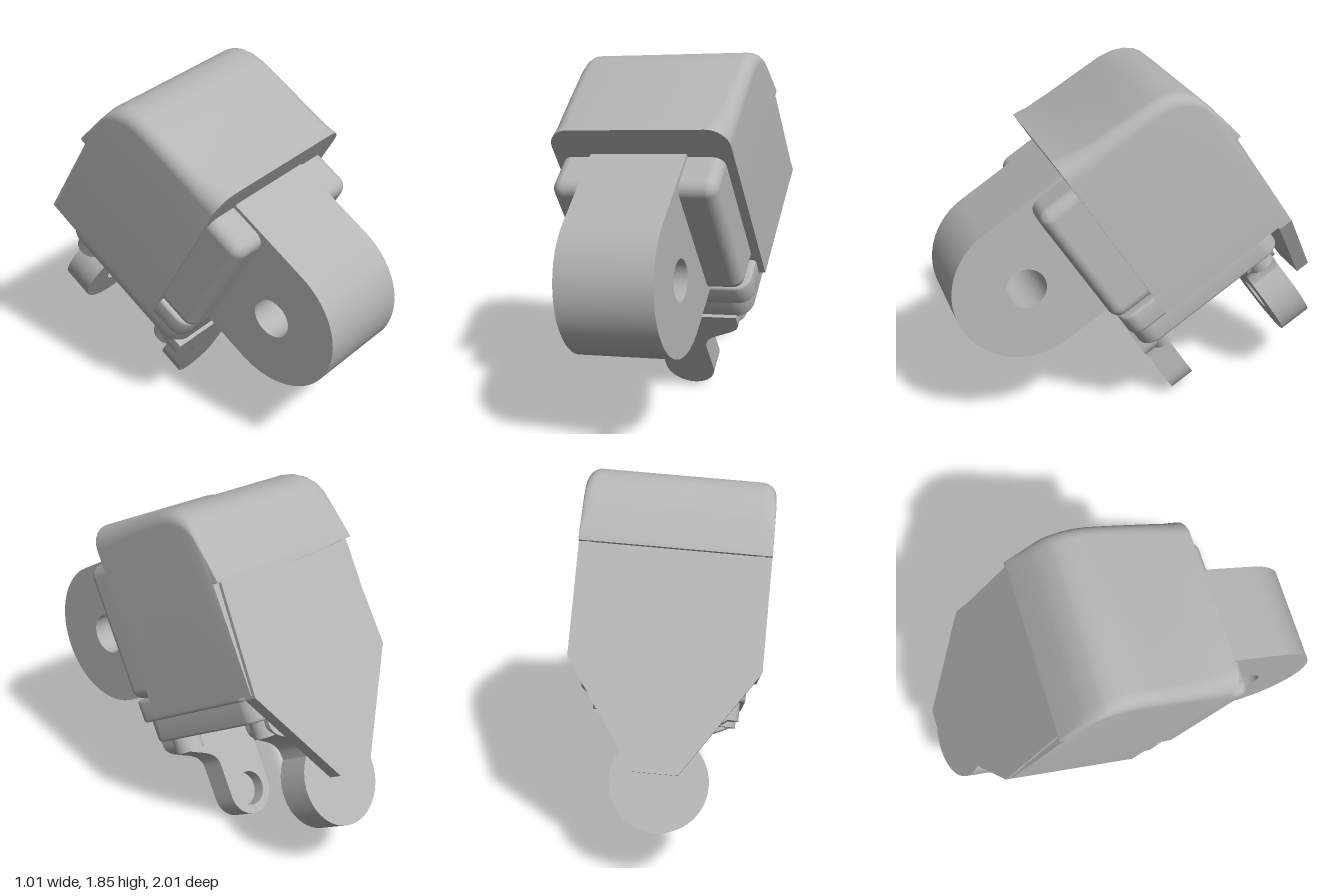
import * as THREE from 'three';
import { toCreasedNormals } from 'three/addons/utils/BufferGeometryUtils.js';
import { RoundedBoxGeometry } from 'three/addons/geometries/RoundedBoxGeometry.js';

const grey = new THREE.MeshStandardMaterial({ color: 0xb5b5b5 });
grey.name = 'light grey';

function add(parent, name, geometry) {
  const mesh = new THREE.Mesh(geometry, grey);
  mesh.name = name;
  parent.add(mesh);
  return mesh;
}

// Upright plate: outline in x/y, running from z0 to z1
function plate(shape, z0, z1, bevel = 0) {
  const g = new THREE.ExtrudeGeometry(shape, {
    depth: z1 - z0 - 2 * bevel, curveSegments: 20, bevelEnabled: bevel > 0,
    bevelSize: bevel, bevelOffset: -bevel, bevelThickness: bevel, bevelSegments: 3,
  });
  g.translate(0, 0, z0 + bevel);
  return toCreasedNormals(g, 0.6);
}

// Flat slab with rounded plan corners
function slab(half, z0, z1, y0, y1, r) {
  const d = (z1 - z0) / 2, s = new THREE.Shape();
  s.moveTo(-half + r, -d);
  s.lineTo(half - r, -d).absarc(half - r, -d + r, r, -Math.PI / 2, 0);
  s.absarc(half - r, d - r, r, 0, Math.PI / 2);
  s.absarc(-half + r, d - r, r, Math.PI / 2, Math.PI);
  s.absarc(-half + r, -d + r, r, Math.PI, Math.PI * 1.5);
  const g = plate(s, y0, y1, 0.015);
  g.rotateX(-Math.PI / 2).translate(0, 0, (z0 + z1) / 2);
  return g;
}

function circleHole(x, y, r) {
  const p = new THREE.Path();
  p.absarc(x, y, r, 0, Math.PI * 2, true);
  return p;
}

// Housing: lofted sections with rounded shoulders, flared at front and rear
function housingGeometry() {
  const h = 0.464, n = 8;
  // z, top, bottom, shoulder radius
  const rows = [
    [-0.40, 1.578, 0.575, 0.11], [-0.48, 1.560, 0.575, 0.10], [-0.60, 1.546, 0.575, 0.08],
    [-0.82, 1.536, 0.575, 0.07], [-0.94, 1.532, 0.575, 0.07], [-1.01, 1.518, 0.575, 0.07],
    [-1.07, 1.490, 0.575, 0.07], [-1.11, 1.457, 0.575, 0.07], [-1.135, 1.42, 0.575, 0.07],
    [-1.165, 1.32, 0.575, 0.07], [-1.167, 1.31, 1.12, 0.07], [-1.20, 1.14, 1.12, 0.01],
  ];
  const rings = rows.map(([z, t, b, r]) => {
    const pts = [[-h, b], [h, b]];
    for (const side of [1, -1]) for (let i = 0; i <= n; i++) {
      const a = (side > 0 ? i : n - i) / n * Math.PI / 2;
      pts.push([side * (h - r + r * Math.cos(a)), t - r + r * Math.sin(a)]);
    }
    return pts.map(([x, y]) => [x, y, z]);
  });
  const pos = [], m = rings[0].length;
  const tri = (...p) => p.forEach((v) => pos.push(...v));
  for (let k = 0; k + 1 < rings.length; k++) for (let i = 0; i < m; i++) {
    const j = (i + 1) % m, A = rings[k], B = rings[k + 1];
    tri(A[i], B[i], A[j]);
    tri(A[j], B[i], B[j]);
  }
  const last = rings[rings.length - 1];
  for (let i = 1; i + 1 < m; i++) {
    tri(rings[0][0], rings[0][i], rings[0][i + 1]);
    tri(last[0], last[i + 1], last[i]);
  }
  const g = new THREE.BufferGeometry();
  g.setAttribute('position', new THREE.Float32BufferAttribute(pos, 3));
  return toCreasedNormals(g, 0.6);
}

// Hanging arm: broad foot, curved neck, round end; optionally pierced
function armShape(foot, neck, endR, endY, hole) {
  const s = new THREE.Shape(), a = Math.asin(Math.min(1, neck / endR));
  const joinY = endY + endR * Math.cos(a);
  s.moveTo(-foot, 0.45);
  s.lineTo(-foot, 0.40);
  s.bezierCurveTo(-foot, 0.30, -neck, 0.32, -neck, Math.max(0.2, joinY));
  s.lineTo(-neck, joinY);
  s.absarc(0, endY, endR, Math.PI / 2 + a, Math.PI / 2 - a + Math.PI * 2, false);
  s.lineTo(neck, Math.max(0.2, joinY));
  s.bezierCurveTo(neck, 0.32, foot, 0.30, foot, 0.40);
  s.lineTo(foot, 0.45);
  if (hole) s.holes.push(circleHole(0, endY, hole));
  return s;
}

export function createModel() {
  const model = new THREE.Group();
  model.name = 'bracketHousing';

  // Everything sits in one tilted frame
  const body = new THREE.Group();
  body.name = 'tiltedBody';
  const X = new THREE.Vector3(0.997, 0.07, -0.03).normalize();
  const F = new THREE.Vector3().crossVectors(X, new THREE.Vector3(-0.044, 0.848, 0.53)).normalize();
  const U = new THREE.Vector3().crossVectors(F, X);
  body.quaternion.setFromRotationMatrix(new THREE.Matrix4().makeBasis(X, U, F));
  body.position.set(0.08, 0, 0);
  model.add(body);

  add(body, 'housing', housingGeometry());

  // Rear panel tapering into a hanging flap
  const panel = new THREE.Shape();
  panel.moveTo(-0.43, 1.12);
  panel.quadraticCurveTo(0, 1.08, 0.43, 1.12);
  panel.lineTo(0.46, 0.56).lineTo(0.11, 0.05).lineTo(-0.11, 0.05).lineTo(-0.46, 0.56);
  add(body, 'rearFlap', plate(panel, -1.185, -1.11));

  // Front pad and pierced lug
  const pad = add(body, 'frontPad', new RoundedBoxGeometry(0.85, 0.73, 0.32, 4, 0.06));
  pad.position.set(-0.01, 1.035, -0.34);
  const lug = new THREE.Shape();
  lug.moveTo(-0.45, 0.665);
  lug.lineTo(0.077, 0.665);
  lug.absarc(0.077, 1.043, 0.378, -Math.PI / 2, Math.PI / 2);
  lug.lineTo(-0.45, 1.421);
  lug.holes.push(circleHole(0.077, 1.043, 0.105));
  const lugGeometry = plate(lug, -0.25, 0.25);
  lugGeometry.rotateY(-Math.PI / 2);
  add(body, 'frontLug', lugGeometry).position.x = -0.02;

  // Stepped base below the housing
  add(body, 'baseFlange', slab(0.43, -1.09, -0.2, 0.55, 0.67, 0.08));
  add(body, 'basePlate', slab(0.40, -1.08, -0.21, 0.43, 0.57, 0.1));

  // Front arm with a blind socket on its inner face
  const front = new THREE.Group();
  front.name = 'frontArm';
  front.position.x = -0.025;
  add(front, 'frontArmOuter', plate(armShape(0.35, 0.135, 0.135, 0.02), -0.26, -0.19));
  add(front, 'frontArmInner', plate(armShape(0.35, 0.135, 0.135, 0.02, 0.09), -0.33, -0.26));

  // Rear arm with a broad disc end and a matching socket
  const rear = new THREE.Group();
  rear.name = 'rearArm';
  rear.position.x = -0.02;
  add(rear, 'rearArmOuter', plate(armShape(0.33, 0.17, 0.24, 0.012), -1.04, -0.95));
  add(rear, 'rearArmInner', plate(armShape(0.33, 0.17, 0.24, 0.012, 0.09), -0.95, -0.865));
  body.add(front, rear);

  // Corner fixing bosses
  for (const z of [-0.32, -0.955]) for (const side of [-1, 1]) {
    const boss = add(body, 'cornerBoss', new THREE.CylinderGeometry(0.075, 0.075, 0.12, 24));
    boss.position.set(side * 0.28 - 0.02, 0.40, z);
  }
  return model;
}
